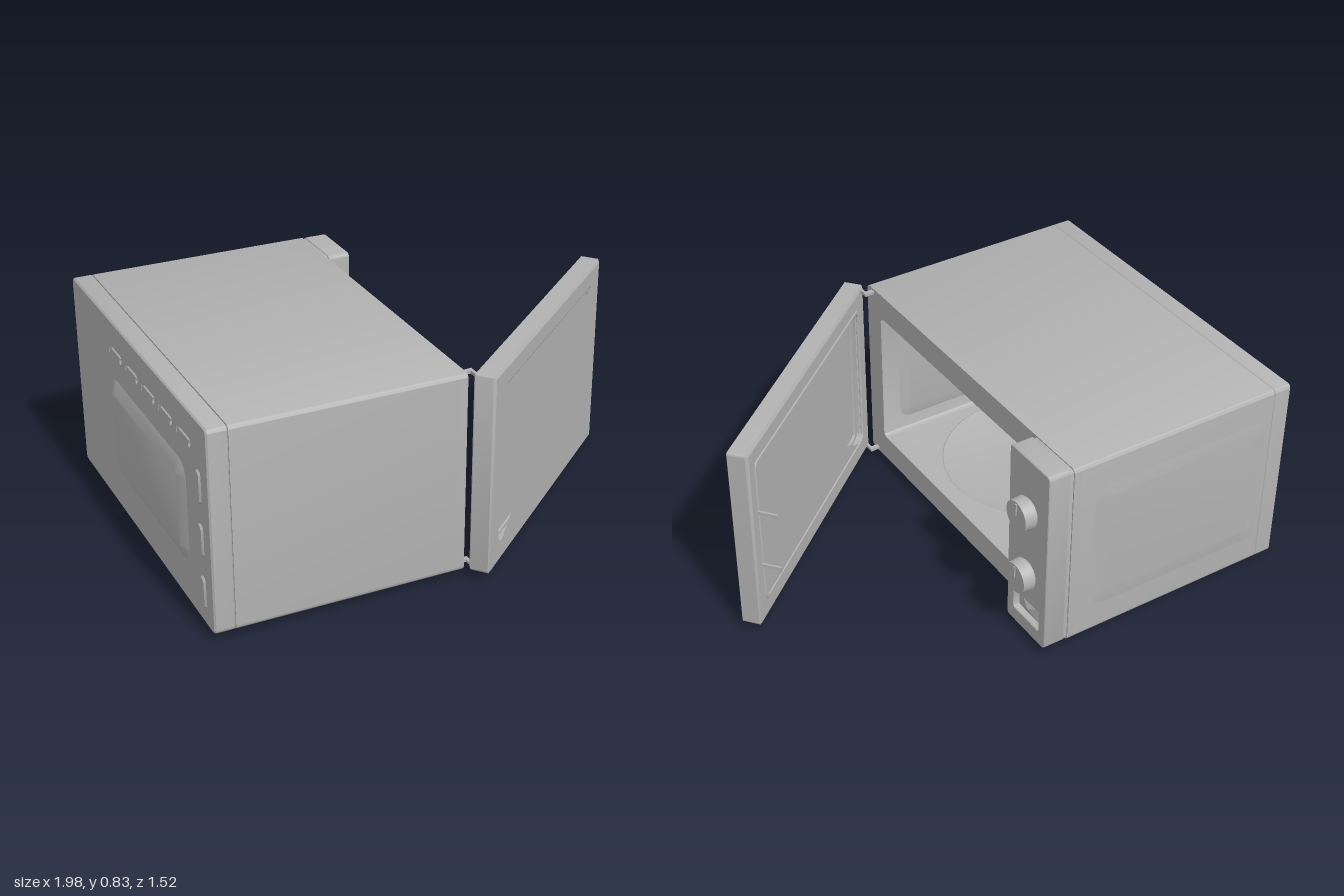
import * as THREE from 'three';
import { toCreasedNormals } from 'three/addons/utils/BufferGeometryUtils.js';

const grey = new THREE.MeshStandardMaterial({ color: 0xb2b2b2 });
grey.name = 'grey enamel';

function roundedRect(path, x0, y0, x1, y1, r) {
  path.moveTo(x0 + r, y0);
  path.lineTo(x1 - r, y0);
  path.absarc(x1 - r, y0 + r, r, -Math.PI / 2, 0, false);
  path.lineTo(x1, y1 - r);
  path.absarc(x1 - r, y1 - r, r, 0, Math.PI / 2, false);
  path.lineTo(x0 + r, y1);
  path.absarc(x0 + r, y1 - r, r, Math.PI / 2, Math.PI, false);
  path.lineTo(x0, y0 + r);
  path.absarc(x0 + r, y0 + r, r, Math.PI, Math.PI * 1.5, false);
  return path;
}

// Rounded slab from z = 0 to z = depth, with optional holes and chamfered rims
function slab([x0, y0, x1, y1, r], depth, { holes = [], bevel = 0, inset = bevel } = {}) {
  const shape = roundedRect(new THREE.Shape(), x0, y0, x1, y1, r);
  for (const h of holes) shape.holes.push(roundedRect(new THREE.Path(), ...h));
  const geo = new THREE.ExtrudeGeometry(shape, {
    depth: depth - 2 * bevel, curveSegments: 6, bevelEnabled: bevel > 0,
    bevelThickness: bevel, bevelSize: inset, bevelOffset: -inset, bevelSegments: 1,
  });
  return toCreasedNormals(geo.translate(0, 0, bevel), 0.5);
}

// Raised panel centred on the origin, rising by height along +z
function emboss(w, h, height, inset) {
  return slab([-w / 2, -h / 2, w / 2, h / 2, inset + 0.015], 2 * height + 0.002, { bevel: height, inset })
    .translate(0, 0, -height - 0.002);
}

function add(parent, name, geo, x = 0, y = 0, z = 0, ry = 0) {
  const mesh = new THREE.Mesh(geo, grey);
  mesh.name = name;
  mesh.position.set(x, y, z);
  mesh.rotation.y = ry;
  parent.add(mesh);
  return mesh;
}

const FRONT = Math.PI / 2; // turns +z to +x, so a shape's x becomes -z
const BOX = (w, h, d) => new THREE.BoxGeometry(w, h, d);

function buildBody() {
  const body = new THREE.Group();
  body.name = 'body';
  const outline = [-0.69, 0.03, 0.76, 0.835, 0.02];
  const opening = [-0.59, 0.14, 0.41, 0.727, 0.02];
  const slots = [0.29, 0.54].map((y) => [0.458, y, 0.472, y + 0.05, 0.003]);

  // Casing: front face plate, cavity shell and back
  add(body, 'frontFrame', slab(outline, 0.03, { holes: [opening, ...slots] }), -0.03, 0, 0, FRONT);
  add(body, 'shell', slab(outline, 0.87, { holes: [opening] }), -0.9, 0, 0, FRONT);
  add(body, 'backWall', slab(outline, 0.08, { bevel: 0.006 }), -0.98, 0, 0, FRONT);

  // Pressed panels inside the cavity
  add(body, 'cavityBackPanel', emboss(0.92, 0.5, 0.015, 0.04), -0.9, 0.433, 0.09, FRONT);
  add(body, 'cavityLeftPanel', emboss(0.74, 0.47, 0.008, 0.04), -0.45, 0.433, 0.59, Math.PI);
  add(body, 'cavityRightPanel', emboss(0.74, 0.47, 0.008, 0.04), -0.45, 0.433, -0.41);

  // Pressed panels outside
  add(body, 'sidePanel', emboss(0.78, 0.56, 0.006, 0.05), -0.49, 0.43, -0.76, Math.PI);
  add(body, 'backHump', emboss(0.79, 0.4, 0.019, 0.05), -0.98, 0.4, 0.075, -FRONT);

  // Louvres on the back
  for (let i = 0; i < 5; i++) {
    add(body, 'topLouvre', emboss(0.12, 0.03, 0.007, 0.006).scale(1, 1, 1), -0.98, 0.715, -0.24 + i * 0.18, -FRONT);
  }
  for (const y of [0.16, 0.37, 0.58]) {
    add(body, 'sideLouvre', emboss(0.045, 0.13, 0.007, 0.006), -0.98, y, 0.6, -FRONT);
  }

  // Underside tray and feet
  const tray = emboss(0.84, 1.27, 0.012, 0.03).rotateX(Math.PI / 2);
  add(body, 'basePlate', tray, -0.49, 0.031, -0.035);
  for (const x of [-0.775, -0.2]) for (const z of [0.49, -0.53]) {
    add(body, 'foot', new THREE.CylinderGeometry(0.025, 0.025, 0.025, 24), x, 0.0125, z);
  }

  // Turntable plate with a raised lip
  const profile = [[0, 0.012], [0.36, 0.012], [0.405, 0.025], [0.41, 0.022], [0.37, 0], [0, 0]]
    .map(([r, y]) => new THREE.Vector2(r, y)).reverse();
  add(body, 'turntable', toCreasedNormals(new THREE.LatheGeometry(profile, 64), 0.5), -0.46, 0.143, 0.09);
  return body;
}

function buildControls() {
  const panel = new THREE.Group();
  panel.name = 'controlPanel';
  const recess = [0.55, 0.093, 0.714, 0.183, 0.006];
  add(panel, 'panelMount', slab([0.515, 0.035, 0.755, 0.83, 0.015], 0.02), -0.005, 0, 0, FRONT);
  add(panel, 'panelFace', slab([0.507, 0.03, 0.755, 0.835, 0.018], 0.09, { holes: [recess], bevel: 0.003 }), 0.012, 0, 0, FRONT);
  add(panel, 'recessFloor', BOX(0.01, 0.1, 0.17), 0.07, 0.138, -0.632);

  // Four-sided push button set in the recess
  const button = new THREE.ConeGeometry(Math.SQRT1_2, 1, 4).toNonIndexed();
  button.rotateY(Math.PI / 4).rotateX(Math.PI / 2).scale(0.164, 0.09, 0.022);
  button.computeVertexNormals();
  add(panel, 'releaseButton', button, 0.086, 0.138, -0.632, FRONT);

  // Round dials with a grip bar
  for (const y of [0.32, 0.61]) {
    const knob = new THREE.Group();
    knob.name = 'knob';
    knob.position.set(0.1, y, -0.632);
    add(knob, 'knobCollar', new THREE.CylinderGeometry(0.057, 0.057, 0.02, 40).rotateZ(-FRONT), 0.005);
    add(knob, 'knobDial', new THREE.CylinderGeometry(0.062, 0.066, 0.045, 40).rotateZ(-FRONT), 0.034);
    add(knob, 'knobPointer', BOX(0.006, 0.05, 0.008), 0.058, 0.03, 0);
    panel.add(knob);
  }
  return panel;
}

function buildDoor() {
  const door = new THREE.Group();
  door.name = 'door';
  door.position.set(0.015, 0, 0.695);
  door.rotation.y = Math.atan2(0.78, 0.92);

  // Frame and layered window
  const hole = [0.09, 0.13, 1.125, 0.745, 0.03];
  add(door, 'doorFrame', slab([0, 0.03, 1.2, 0.835, 0.012], 0.085, { holes: [hole], bevel: 0.008, inset: 0.014 }));
  add(door, 'windowRim', slab([0.08, 0.12, 1.135, 0.755, 0.02], 0.052, { holes: [[0.118, 0.147, 1.1, 0.725, 0.015]], bevel: 0.004 }), 0, 0, 0.02);
  add(door, 'window', slab([0.1, 0.135, 1.115, 0.74, 0.015], 0.036), 0, 0, 0.03);

  // Raised ridge around the inner side of the window
  add(door, 'innerRidge', slab([0.07, 0.11, 1.145, 0.765, 0.03], 0.012, { holes: [[0.085, 0.125, 1.13, 0.75, 0.025]], bevel: 0.004 }), 0, 0, -0.004);

  // Latch hooks
  for (const y of [0.295, 0.545]) {
    add(door, 'latchArm', BOX(0.008, 0.014, 0.085), 1.15, y, -0.035);
    add(door, 'latchTip', BOX(0.008, 0.026, 0.016), 1.15, y - 0.006, -0.07);
  }
  return door;
}

export function createModel() {
  const model = new THREE.Group();
  model.name = 'microwaveOven';
  model.add(buildBody(), buildControls(), buildDoor());

  // Hinge brackets at the top and bottom of the door edge
  for (const y of [0.045, 0.82]) {
    add(model, 'hingePlate', BOX(0.04, 0.012, 0.018), 0.02, y, 0.645);
    add(model, 'hingePin', BOX(0.012, 0.012, 0.05), 0.035, y, 0.66);
  }
  return model;
}
